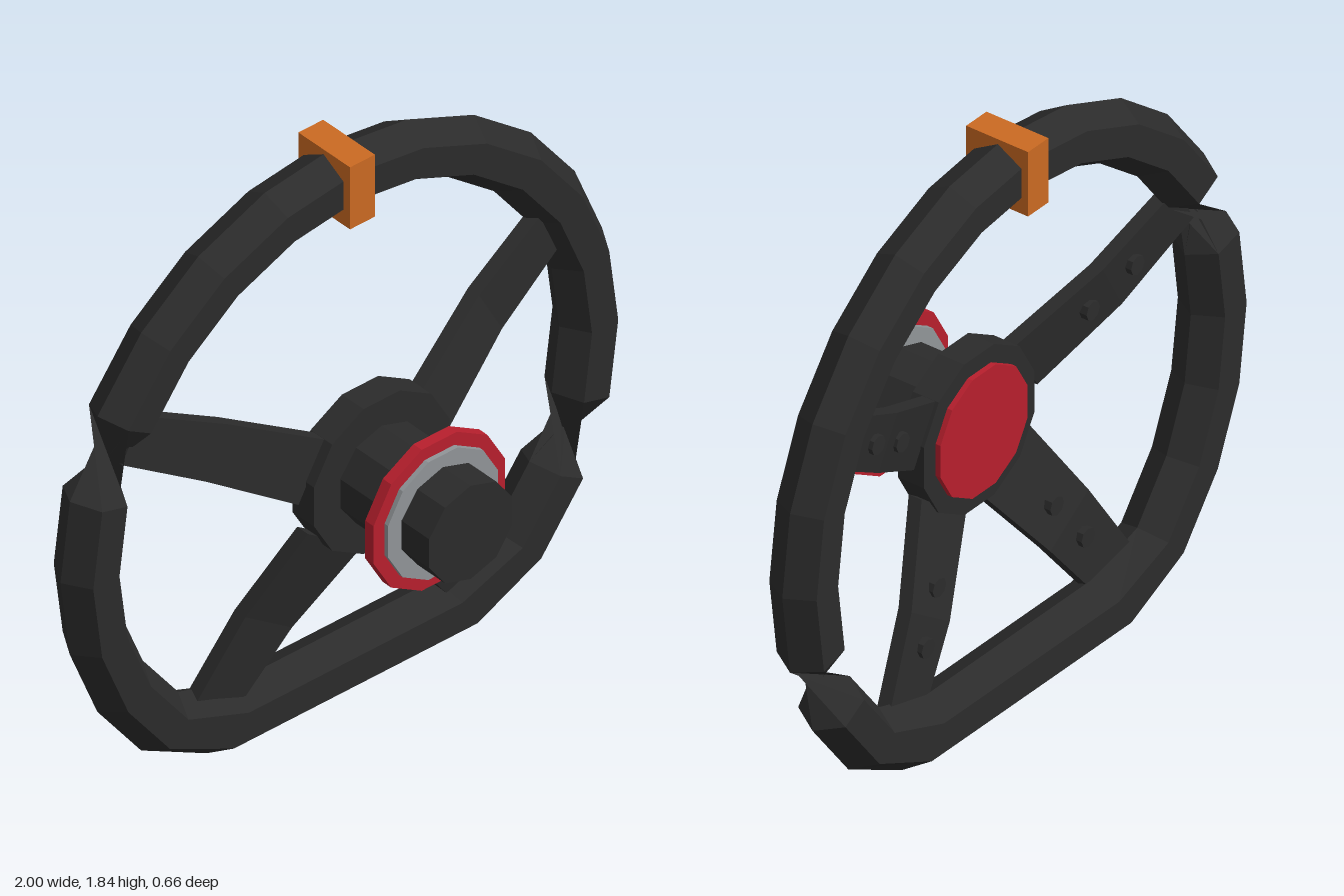
import * as THREE from 'three';

const material = (name, color) => {
  const m = new THREE.MeshStandardMaterial({ color, flatShading: true });
  m.name = name;
  return m;
};

export function createModel() {
  const group = new THREE.Group();
  const charcoal = material('charcoal', 0x2b2b2b);
  const red = material('red', 0xb81f2d);
  const grey = material('grey', 0x919598);
  const orange = material('orange', 0xcb6a22);
  const CY = 0.84;

  const add = (name, geometry, mat) => {
    const mesh = new THREE.Mesh(geometry, mat);
    mesh.name = name;
    group.add(mesh);
    return mesh;
  };

  // Prism along z between two depths
  const disc = (name, radius, z0, z1, sides, mat, x = 0, y = CY) => {
    const g = new THREE.CylinderGeometry(radius, radius, z1 - z0, sides);
    if (sides === 12) g.rotateY(Math.PI / 12);
    g.rotateX(Math.PI / 2);
    add(name, g, mat).position.set(x, y, (z0 + z1) / 2);
  };

  // Rim: hexagonal section around a flat-bottomed circle, with two twisted grips
  const rings = [];
  for (let deg = -60; deg <= 240; deg += 15) {
    const a = THREE.MathUtils.degToRad(deg);
    const corner = deg === -60 || deg === 240;
    const cx = corner ? Math.sign(Math.cos(a)) * 0.415 : 0.905 * Math.cos(a);
    const cy = corner ? 0.105 : CY + 0.905 * Math.sin(a);
    const r = corner ? 0.11 : 0.095;
    const ring = [];
    for (let j = 0; j < 6; j++) {
      const b = (j * Math.PI) / 3;
      ring.push([
        cx + r * Math.cos(b) * Math.cos(a),
        cy + r * Math.cos(b) * Math.sin(a),
        -0.23 + 0.095 * Math.sin(b),
      ]);
    }
    rings.push({ deg, ring });
  }
  const positions = [];
  rings.forEach(({ deg, ring }, i) => {
    const next = rings[(i + 1) % rings.length].ring;
    const shift = deg === -30 || deg === 150 ? 2 : 0;
    for (let j = 0; j < 6; j++) {
      const a = ring[j], d = ring[(j + 1) % 6];
      const b = next[(j + shift) % 6], c = next[(j + 1 + shift) % 6];
      positions.push(...a, ...b, ...c, ...a, ...c, ...d);
    }
  });
  const rim = new THREE.BufferGeometry();
  rim.setAttribute('position', new THREE.Float32BufferAttribute(positions, 3));
  rim.computeVertexNormals();
  add('rim', rim, charcoal);

  // Centre marker band
  add('centreBand', new THREE.BoxGeometry(0.09, 0.21, 0.215), orange).position.set(0, 1.745, -0.2275);

  // Hub, quick release and column boss
  disc('hub', 0.254, -0.13, -0.04, 12, charcoal);
  disc('hubBackCap', 0.2, -0.147, -0.125, 12, red);
  disc('boss', 0.158, -0.05, 0.33, 10, charcoal);
  disc('releaseCollar', 0.206, 0.145, 0.215, 12, grey);
  disc('releaseRing', 0.247, 0.165, 0.2, 12, red);

  // Spokes: tapered plates dished back towards the rim, with bolts behind
  const depthAt = (t) => (t < 0.5
    ? THREE.MathUtils.lerp(-0.095, -0.18, t * 2)
    : THREE.MathUtils.lerp(-0.18, -0.22, t * 2 - 1));
  const spoke = (name, start, end, w0, w1) => {
    const s = new THREE.Vector2(...start), e = new THREE.Vector2(...end);
    const u = e.clone().sub(s).normalize();
    const g = new THREE.BoxGeometry(1, 1, 1, 2, 1, 1);
    const p = g.attributes.position;
    for (let i = 0; i < p.count; i++) {
      const t = p.getX(i) + 0.5;
      const side = p.getY(i) * THREE.MathUtils.lerp(w0, w1, t);
      const c = s.clone().lerp(e, t);
      p.setXYZ(i, c.x - u.y * side, c.y + u.x * side, depthAt(t) + p.getZ(i) * 0.045);
    }
    g.computeVertexNormals();
    add(name, g, charcoal);
    for (const t of [0.36, 0.64]) {
      const c = s.clone().lerp(e, t);
      disc(name + 'Bolt', 0.03, depthAt(t) - 0.04, depthAt(t), 8, charcoal, c.x, c.y);
    }
  };
  for (const [side, m] of [['left', 1], ['right', -1]]) {
    spoke(side + 'UpperSpoke', [0.225 * m, 0.93], [0.77 * m, 1.23], 0.2, 0.15);
    spoke(side + 'LowerSpoke', [0.14 * m, 0.66], [0.475 * m, 0.17], 0.24, 0.17);
  }

  return group;
}
